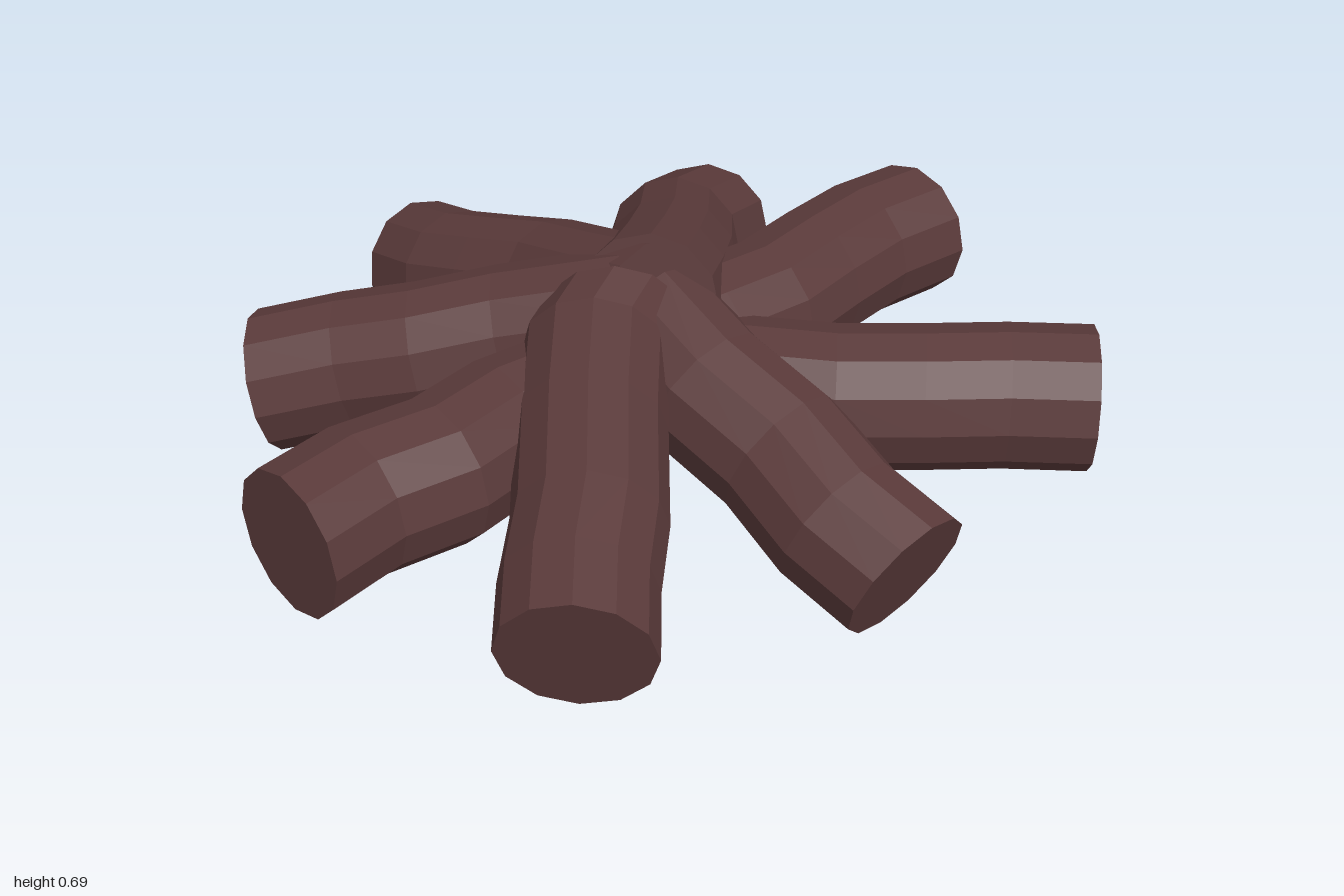
import * as THREE from 'three';

const RADIUS = 0.174;
const SIDES = 12;

// A log: twelve-sided rings swept along a crooked plan path [x, z],
// with height running evenly from y0 at the hub to y1 at the outer end.
function logGeometry(y0, y1, path) {
  const first = path[0], last = path[path.length - 1];
  const start = new THREE.Vector3(first[0], y0, first[1]);
  const end = new THREE.Vector3(last[0], y1, last[1]);
  const axis = end.clone().sub(start).normalize();
  const side = new THREE.Vector3().crossVectors(new THREE.Vector3(0, 1, 0), axis).normalize();
  const up = new THREE.Vector3().crossVectors(axis, side);
  const flat = new THREE.Vector2(last[0] - first[0], last[1] - first[1]);

  const positions = [], index = [];
  const centres = path.map(([x, z]) => {
    const t = ((x - first[0]) * flat.x + (z - first[1]) * flat.y) / flat.lengthSq();
    return new THREE.Vector3(x, y0 + (y1 - y0) * t, z);
  });
  for (const c of centres) {
    for (let i = 0; i < SIDES; i++) {
      const a = (i / SIDES) * Math.PI * 2;
      const p = c.clone()
        .addScaledVector(side, Math.cos(a) * RADIUS)
        .addScaledVector(up, Math.sin(a) * RADIUS);
      positions.push(p.x, p.y, p.z);
    }
  }
  // bark
  for (let r = 0; r < path.length - 1; r++) {
    for (let i = 0; i < SIDES; i++) {
      const j = (i + 1) % SIDES;
      const a = r * SIDES + i, b = r * SIDES + j;
      index.push(a, b, b + SIDES, a, b + SIDES, a + SIDES);
    }
  }
  // sawn ends
  const top = (path.length - 1) * SIDES;
  for (let i = 1; i < SIDES - 1; i++) {
    index.push(0, i + 1, i, top, top + i, top + i + 1);
  }
  const geometry = new THREE.BufferGeometry();
  geometry.setAttribute('position', new THREE.Float32BufferAttribute(positions, 3));
  geometry.setIndex(index);
  const faceted = geometry.toNonIndexed();
  faceted.computeVertexNormals();
  return faceted;
}

// name, hub height, outer height, plan path from the hub outwards
const LOGS = [
  ['leftLog', 0.385, 0.385, [[0, 0.01], [0.2, 0.03], [0.4, 0.05], [0.6, 0.02], [0.8, 0], [1, 0.02]]],
  ['rightLog', 0.348, 0.348, [[0, 0.015], [-0.2, 0.01], [-0.4, -0.01], [-0.6, 0.02], [-0.8, -0.012], [-1, 0.015]]],
  ['frontLog', 0.46, 0.165, [[0.05, 0], [0.035, 0.22], [0.06, 0.44], [0.035, 0.64], [0.06, 0.825]]],
  ['backLog', 0.505, 0.26, [[0.05, 0.04], [0.06, -0.18], [0.075, -0.36], [0.05, -0.53], [0.03, -0.7], [0.055, -0.885]]],
  ['frontLeftLog', 0.332, 0.332, [[0.04, 0.04], [0.16, 0.22], [0.29, 0.39], [0.44, 0.53], [0.59, 0.66], [0.73, 0.805]]],
  ['frontRightLog', 0.495, 0.245, [[-0.03, -0.02], [-0.13, 0.02], [-0.29, 0.18], [-0.47, 0.375], [-0.6, 0.485], [-0.715, 0.605]]],
  ['backLeftLog', 0.525, 0.29, [[0.03, 0.02], [0.19, -0.1], [0.35, -0.23], [0.53, -0.405], [0.725, -0.485]]],
  ['backRightLog', 0.48, 0.285, [[0.02, -0.01], [-0.18, -0.24], [-0.33, -0.37], [-0.45, -0.51], [-0.605, -0.645]]],
];

export function createModel() {
  const group = new THREE.Group();
  group.name = 'logPile';
  const wood = new THREE.MeshStandardMaterial({ color: 0x5a3a3a, flatShading: true });
  for (const [name, y0, y1, path] of LOGS) {
    const mesh = new THREE.Mesh(logGeometry(y0, y1, path), wood);
    mesh.name = name;
    group.add(mesh);
  }
  return group;
}
